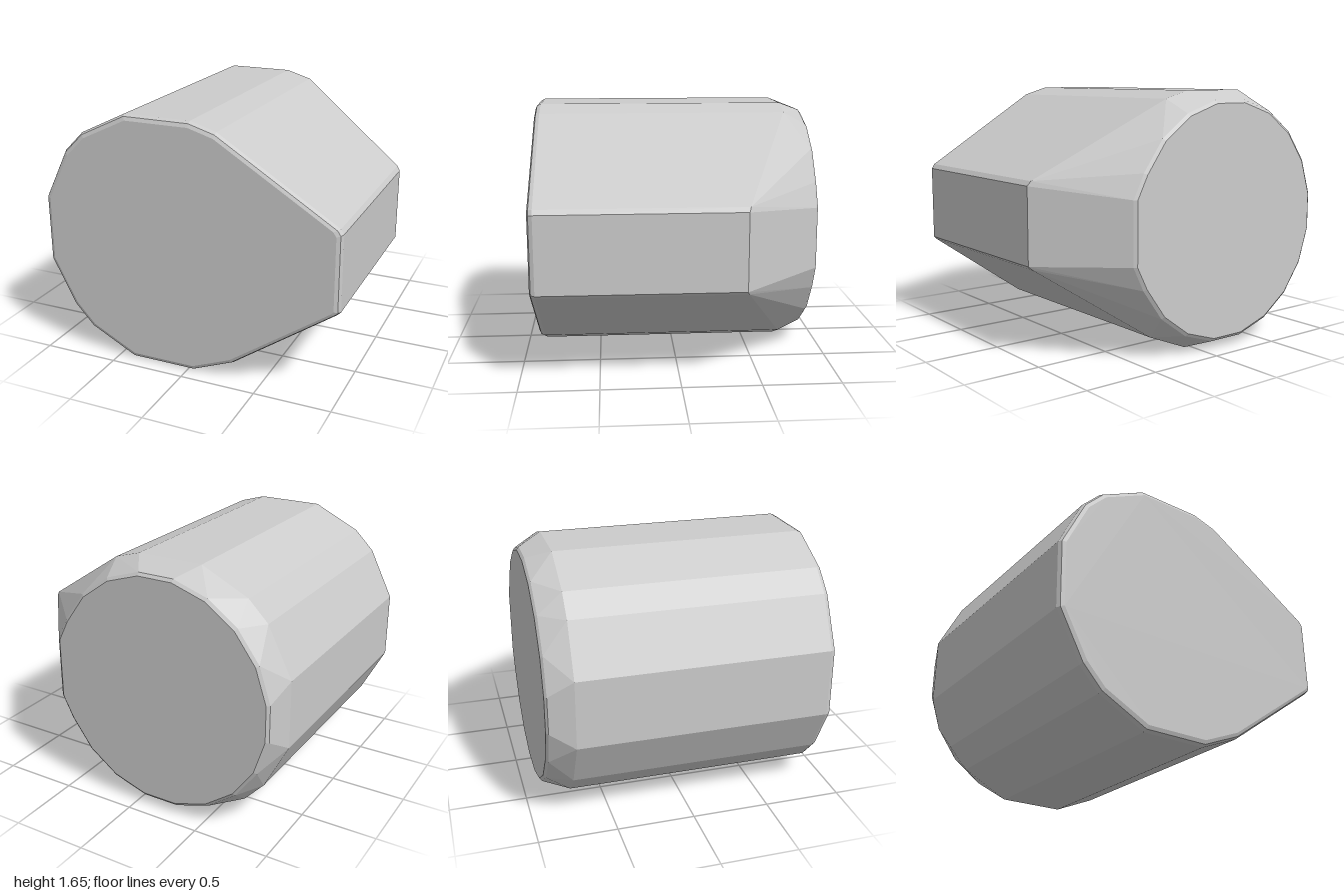
import * as THREE from 'three';
import { ConvexGeometry } from 'three/addons/geometries/ConvexGeometry.js';

// Outline of the body: [x, y, z where the back chamfer starts]
const outline = [
  [-1, 0.61, -0.74], [-1, 1.05, -0.74], [-0.84, 1.37, -0.74], [-0.71, 1.5, -0.74],
  [-0.4, 1.65, -0.74], [0.04, 1.65, -0.74], [0.21, 1.6, -0.74],
  [0.98, 1.12, -0.41], [1, 1.09, -0.4], [1, 0.6, -0.4], [0.98, 0.58, -0.41],
  [0.31, 0.11, -0.72], [0.04, 0, -0.74], [-0.4, 0, -0.74],
  [-0.71, 0.16, -0.74], [-0.84, 0.3, -0.74],
];

export function createModel() {
  const group = new THREE.Group();
  const points = [];
  const cy = 0.825;

  // Back rim of the prism
  for (const [x, y, z] of outline) points.push(new THREE.Vector3(x, y, z));

  // Front rim with a small rounded bevel: [z, inset]
  for (const [z, inset] of [[0.875, 0], [0.9, 0.012], [0.91, 0.035]]) {
    for (const [x, y] of outline) {
      points.push(new THREE.Vector3(x * (1 - inset), cy + (y - cy) * (1 - inset / cy), z));
    }
  }

  // Rounded back face, with a longer straight edge on the +x side: [z, radius]
  for (const [z, r] of [[-0.895, 0.775], [-0.91, 0.755]]) {
    const sides = 20;
    for (let i = 0; i < sides; i++) {
      const a = ((i + 0.5) / sides) * Math.PI * 2;
      points.push(new THREE.Vector3(-0.18 + r * Math.cos(a), cy + r * Math.sin(a), z));
    }
    for (const s of [-1, 1]) {
      points.push(new THREE.Vector3(-0.18 + r * Math.cos(Math.PI / sides), cy + s * 0.2, z));
    }
  }

  // Solid faceted body
  const body = new THREE.Mesh(
    new ConvexGeometry(points),
    new THREE.MeshStandardMaterial({ color: 0xcccccc, flatShading: true })
  );
  body.name = 'body';
  group.add(body);
  return group;
}
